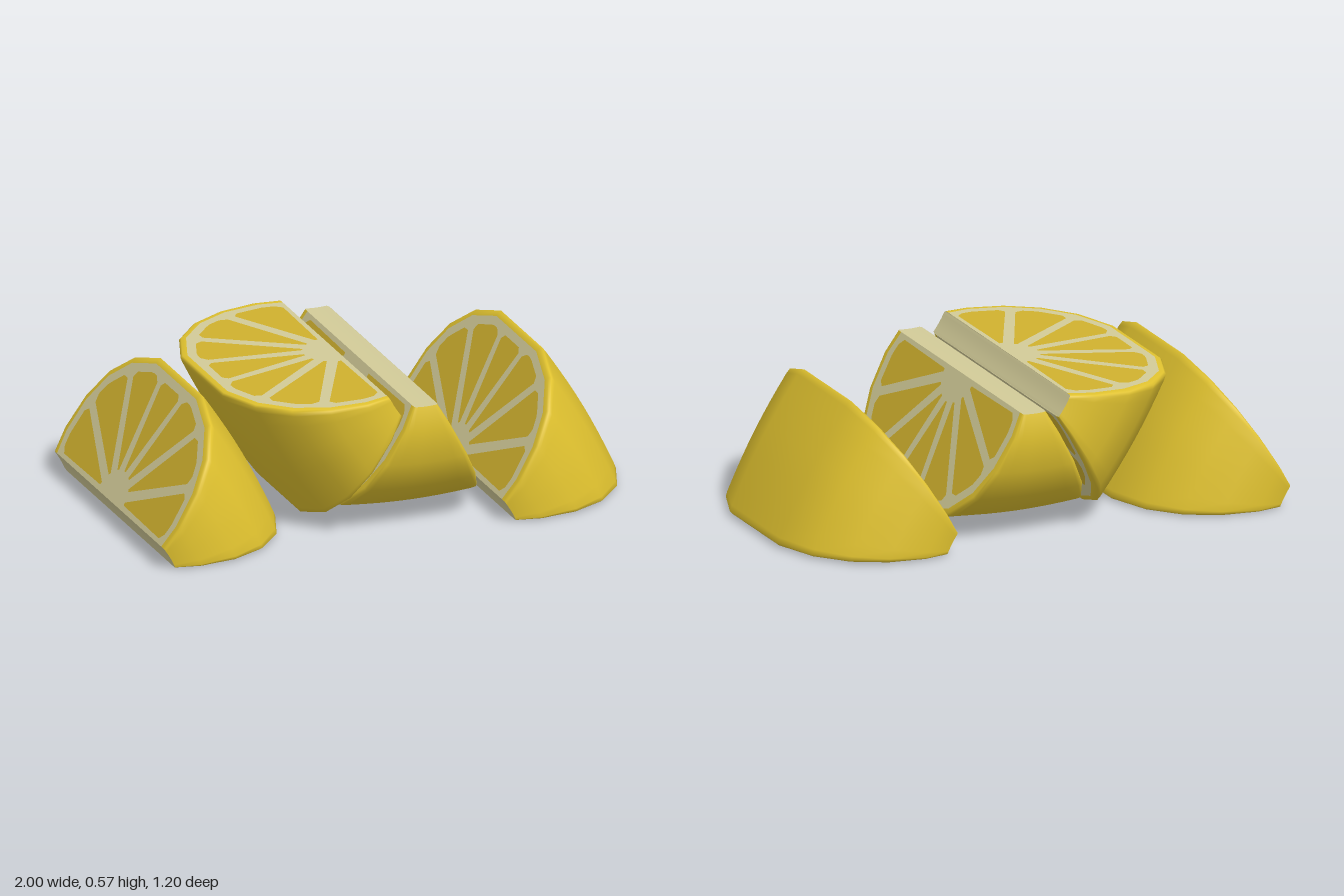
import * as THREE from 'three';

const rad = THREE.MathUtils.degToRad;
const HALF = 29;   // half the wedge angle, degrees
const CORE = 0.1;  // the sharp inner edge is cut off at this radius

const rind = new THREE.MeshStandardMaterial({ color: 0xe0c22f });
const pith = new THREE.MeshStandardMaterial({ color: 0xd2cb98 });
const flesh = new THREE.MeshStandardMaterial({ color: 0xd0b12e });
rind.name = 'rind yellow';
pith.name = 'pith cream';
flesh.name = 'flesh yellow';

// Outline of a cut face as (radius, z), from the back end to the front end
const frontHalf = [[0.655, 0.22], [0.59, 0.4], [0.483, 0.52], [0.35, 0.585], [0.2, 0.6], [CORE, 0.575]];
const outline = [...frontHalf.map(([r, z]) => [r, -z]).reverse(), ...frontHalf];
const inset = (s) => outline.map(([r, z]) => new THREE.Vector2(CORE + (r - CORE) * s, z * s));

// Columns across the wedge: rounded rim, gently bulging skin, rounded rim
const rim = [[HALF, 0.945], [HALF - 0.2, 0.976], [HALF - 1, 0.99]];
const columns = [
  ...rim.map(([a, s]) => [-a, s]),
  ...[-26, -20, -13, -6, 0, 6, 13, 20, 26].map((a) => [a, null]),
  ...rim.slice().reverse(),
];

function skinPoint([r, z], [angle, s]) {
  const t = rad(angle);
  let radius, depth = z;
  if (s === null) {
    radius = r * Math.cos(rad(HALF)) / Math.cos(t) * (1 + 0.03 * (1 - (angle / HALF) ** 2));
  } else {
    radius = CORE + (r - CORE) * s;
    depth = z * s;
  }
  return [radius * Math.cos(t), radius * Math.sin(t), depth];
}

// Smooth surface lofted through rows of the outline
function loft(rows) {
  const positions = [], index = [], n = columns.length;
  rows.forEach((row) => columns.forEach((col) => positions.push(...skinPoint(row, col))));
  for (let i = 0; i < rows.length - 1; i++) {
    for (let k = 0; k < n - 1; k++) {
      const a = i * n + k, c = a + n;
      index.push(a, a + 1, c, a + 1, c + 1, c);
    }
  }
  const g = new THREE.BufferGeometry();
  g.setAttribute('position', new THREE.Float32BufferAttribute(positions, 3));
  g.setIndex(index);
  g.computeVertexNormals();
  return g;
}

// Distance from the face centre to a closed-in outline along an angle
function reach(points, angle) {
  const dx = Math.cos(angle), dy = Math.sin(angle);
  for (let i = 0; i < points.length - 1; i++) {
    const ax = points[i].x - CORE, ay = points[i].y;
    const ex = points[i + 1].x - CORE - ax, ey = points[i + 1].y - ay;
    const den = dx * ey - dy * ex;
    if (Math.abs(den) < 1e-9) continue;
    const d = (ax * ey - ay * ex) / den;
    const u = (ax * dy - ay * dx) / den;
    if (d > 0 && u >= -1e-6 && u <= 1 + 1e-6) return d;
  }
  return 0.5;
}

// Seven juicy segments fanned around the face centre
function segmentOutlines() {
  const count = 7, step = Math.PI / count, gap = 0.018, edge = inset(0.885);
  const at = (a, d) => new THREE.Vector2(CORE + d * Math.cos(a), d * Math.sin(a));
  return Array.from({ length: count }, (_, i) => {
    const from = -Math.PI / 2 + i * step, mid = from + step / 2;
    const points = [at(mid - 0.05, 0.125), at(mid + 0.05, 0.125)].reverse();
    const trim = Math.asin(gap / 0.5);
    for (let k = 0; k <= 8; k++) {
      const a = from + trim + (step - 2 * trim) * k / 8;
      const soft = k === 0 || k === 8 ? 0.96 : 1;
      points.push(at(a, reach(edge, a) * soft));
    }
    return points;
  });
}

const segments = segmentOutlines();
const pithShape = new THREE.Shape(inset(0.945));
pithShape.holes = segments.map((points) => new THREE.Path(points));
const geometry = {
  skin: loft(outline),
  core: loft([outline[outline.length - 1], outline[0]]),
  pith: new THREE.ShapeGeometry(pithShape),
  flesh: new THREE.ShapeGeometry(segments.map((points) => new THREE.Shape(points))),
};

function part(name, geo, material) {
  const mesh = new THREE.Mesh(geo, material);
  mesh.name = name;
  return mesh;
}

// One flat cut face; side is +1 or -1
function cutFace(side) {
  const face = new THREE.Group();
  face.name = side > 0 ? 'upperCutFace' : 'lowerCutFace';
  face.add(part('pith', geometry.pith, pith), part('fleshSegments', geometry.flesh, flesh));
  const t = rad(HALF * side);
  const along = new THREE.Vector3(Math.cos(t), Math.sin(t), 0);
  const across = new THREE.Vector3(0, 0, -side);
  const basis = new THREE.Matrix4().makeBasis(along, across, along.clone().cross(across));
  face.quaternion.setFromRotationMatrix(basis);
  return face;
}

function wedge(name, x, y, angle) {
  const g = new THREE.Group();
  g.name = name;
  g.add(part('rind', geometry.skin, rind), part('core', geometry.core, pith), cutFace(1), cutFace(-1));
  g.position.set(x, y, 0);
  g.rotation.z = rad(angle);
  return g;
}

export function createModel() {
  const model = new THREE.Group();
  model.name = 'citrusWedges';
  // Position of the inner edge and the direction the rind points
  model.add(
    wedge('rightWedge', -1.05, 0.0, 29.3),
    wedge('leaningWedge', 0.03, 0.578, 211.8),
    wedge('uprightWedge', 0.08, 0.61, 270),
    wedge('leftWedge', 0.35, 0.0, 29.5),
  );
  return model;
}
